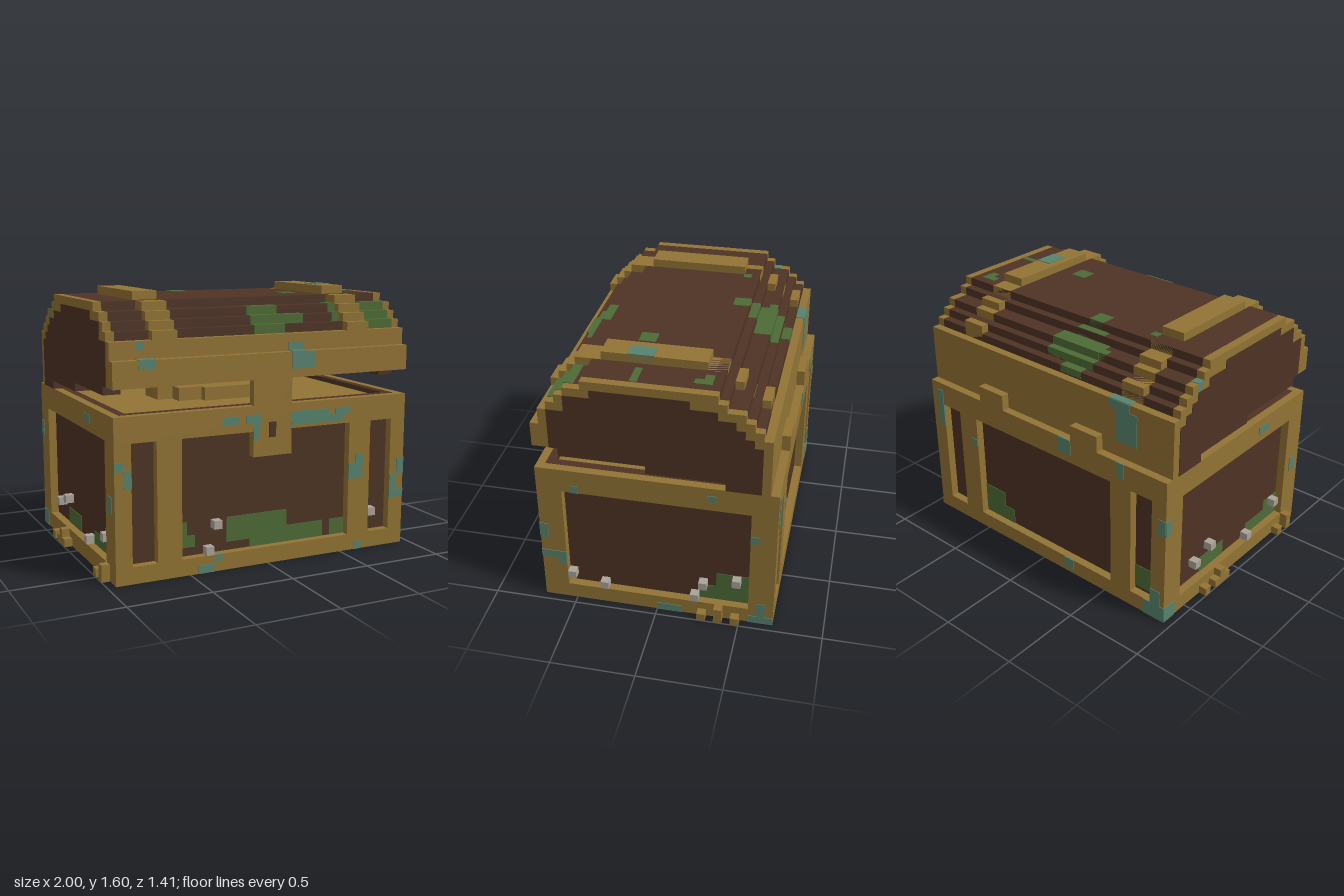
import * as THREE from 'three';

export function createModel() {
  const root = new THREE.Group();
  root.name = 'treasureChest';
  const mat = (name, color) => Object.assign(new THREE.MeshStandardMaterial({ color }), { name });
  const gold = mat('agedGold', 0x927334);
  const wood = mat('darkWood', 0x4e3324);
  const moss = mat('moss', 0x4e6b36);
  const teal = mat('patina', 0x57836f);
  const shell = mat('barnacle', 0xaaa399);
  const T = 0.004; // half thickness of painted plates

  const group = (name) => {
    const g = new THREE.Group();
    g.name = name;
    root.add(g);
    return g;
  };
  const box = (parent, name, m, x0, x1, y0, y1, z0, z1) => {
    const mesh = new THREE.Mesh(new THREE.BoxGeometry(x1 - x0, y1 - y0, z1 - z0), m);
    mesh.position.set((x0 + x1) / 2, (y0 + y1) / 2, (z0 + z1) / 2);
    mesh.name = name;
    parent.add(mesh);
  };
  // stack of slabs, rows are [top, zMin, zMax] from the top down
  const stair = (parent, name, m, x0, x1, rows, bottom) =>
    rows.forEach(([y, z0, z1], i) =>
      box(parent, name, m, x0, x1, i + 1 < rows.length ? rows[i + 1][0] : bottom, y, z0, z1));
  // thin rectangles [a0, b0, a1, b1] on a plane facing z or x
  const platesZ = (parent, name, m, z, list) => list.forEach(([a, b, c, d]) =>
    box(parent, name, m, a, c, b, d, z - T, z + T));
  const platesX = (parent, name, m, x, list) => list.forEach(([a, b, c, d]) =>
    box(parent, name, m, x - T, x + T, b, d, a, c));
  // mirrored interval in ascending order
  const side = (s, a, b) => [s * a, s * b].sort((p, q) => p - q);

  // body: wooden core with an open rim
  const body = group('body');
  box(body, 'bodyCore', wood, -0.9, 0.9, 0.005, 0.9, -0.65, 0.65);
  for (const s of [-1, 1]) {
    box(body, 'innerRim', wood, -0.9, 0.9, 0.9, 0.95, ...side(s, 0.6, 0.65));
    box(body, 'innerRim', wood, ...side(s, 0.85, 0.9), 0.9, 0.95, -0.6, 0.6);
  }

  // gold frame on all four walls
  const frame = group('frame');
  for (const s of [-1, 1]) {
    const z = side(s, 0.65, 0.7);
    const x = side(s, 0.9, 0.95);
    for (const [y0, y1] of [[0, 0.1], [0.8, 0.95]]) {
      box(frame, 'rail', gold, -0.95, 0.95, y0, y1, ...z);
      box(frame, 'sideRail', gold, ...x, y0, y1, -0.65, 0.65);
    }
    for (const [x0, x1] of [[-0.95, -0.85], [-0.7, -0.55], [0.55, 0.7], [0.85, 0.95]])
      box(frame, 'post', gold, x0, x1, 0.1, 0.8, ...z);
    box(frame, 'sidePost', gold, ...x, 0.1, 0.8, -0.65, -0.55);
    box(frame, 'sidePost', gold, ...x, 0.1, 0.8, 0.55, 0.65);
  }

  // latch with keyhole
  const latch = group('latch');
  box(latch, 'latchPlate', gold, -0.1, 0.15, 0.65, 1.1, 0.65, 0.7);
  platesZ(latch, 'keyhole', wood, 0.7, [[0, 0.76, 0.045, 0.85]]);

  // treasure heap
  const treasure = group('treasure');
  box(treasure, 'coinBed', gold, -0.85, 0.85, 0.9, 0.92, -0.6, 0.6);
  for (const [w, d] of [[0.45, 0.1], [0.35, 0.2], [0.2, 0.25]])
    box(treasure, 'coinHeap', gold, -w, w, 0.92, 1, -d, d);
  box(treasure, 'pearl', shell, 0.35, 0.4, 0.95, 1.004, 0.1, 0.154);

  // vaulted lid, stepped front to back
  const lid = group('lid');
  const vault = [[1.55, -0.35, 0.4], [1.5, -0.4, 0.5], [1.45, -0.5, 0.55], [1.4, -0.55, 0.6], [1.35, -0.6, 0.6]];
  const strap = [[1.6, -0.25, 0.35], [1.55, -0.35, 0.5], [1.5, -0.45, 0.55], [1.45, -0.5, 0.6],
    [1.4, -0.6, 0.65], [1.3, -0.65, 0.65]];
  const end = [[1.5, -0.2, 0.35], [1.45, -0.35, 0.5], [1.4, -0.45, 0.5], [1.35, -0.5, 0.6],
    [1.3, -0.55, 0.6], [1.25, -0.6, 0.6], [1.1, -0.6, 0.55], [1.05, -0.6, 0.05], [1, -0.6, -0.4]];
  stair(lid, 'vault', wood, -0.9, 0.9, vault, 1.1);
  box(lid, 'innerBackWall', wood, -0.9, 0.9, 0.95, 1.1, -0.6, -0.55);
  box(lid, 'frontBandLower', gold, -0.95, 0.95, 1.1, 1.25, 0.6, 0.7);
  box(lid, 'frontBandUpper', gold, -0.95, 0.95, 1.25, 1.35, 0.6, 0.65);
  box(lid, 'backBand', gold, -0.95, 0.95, 0.95, 1.3, -0.65, -0.6);
  for (const s of [-1, 1]) {
    stair(lid, 'endTrim', gold, ...side(s, 0.9, 0.95), vault, 1.1);
    stair(lid, 'endPanel', wood, ...side(s, 0.85, 0.953), end, 0.95);
    stair(lid, 'strap', gold, ...side(s, 0.55, 0.7), strap, 1.25);
    box(lid, 'innerStrap', gold, ...side(s, 0.55, 0.7), 0.95, 1.1, -0.56, -0.54);
  }
  box(lid, 'hinge', gold, -0.45, -0.25, 0.95, 1.05, -0.7, -0.65);
  box(lid, 'hinge', gold, 0.3, 0.5, 0.95, 1.05, -0.7, -0.65);

  // small gold lumps by the foot of both ends: [z0, z1, height]
  const lumps = group('goldLumps');
  for (const [a, b, h] of [[-0.5, -0.45, 0.05], [-0.4, -0.35, 0.1], [-0.3, -0.25, 0.05]])
    box(lumps, 'lump', gold, 0.95, 1, 0, h, a, b);
  for (const [a, b, h] of [[-0.35, -0.3, 0.05], [-0.25, -0.2, 0.05], [-0.2, -0.15, 0.1], [-0.15, -0.1, 0.05],
    [0.45, 0.5, 0.05], [0.55, 0.6, 0.1]])
    box(lumps, 'lump', gold, -1, -0.95, 0, h, a, b);

  // barnacle cubes inside the recessed panels
  const barnacles = group('barnacles');
  for (const [x, y] of [[-0.35, 0.25], [-0.4, 0.1], [0.7, 0.2]])
    box(barnacles, 'barnacle', shell, x, x + 0.05, y, y + 0.05, 0.65, 0.703);
  for (const [z, y] of [[0.5, 0.15], [0.3, 0.1], [-0.25, 0.1], [-0.3, 0.2], [-0.5, 0.25]])
    box(barnacles, 'barnacle', shell, 0.9, 0.953, y, y + 0.05, z, z + 0.05);
  for (const [z, y] of [[-0.4, 0.2], [-0.25, 0.25], [0.15, 0.1], [0.45, 0.2]])
    box(barnacles, 'barnacle', shell, -0.953, -0.9, y, y + 0.05, z, z + 0.05);

  // moss on the wooden panels
  const growth = group('moss');
  platesZ(growth, 'frontMoss', moss, 0.65, [[-0.25, 0.15, 0.15, 0.3], [-0.1, 0.1, 0.4, 0.15], [0.15, 0.15, 0.4, 0.2],
    [-0.55, 0.15, -0.45, 0.22], [-0.55, 0.22, -0.5, 0.3], [0.45, 0.1, 0.55, 0.2]]);
  platesZ(growth, 'backMoss', moss, -0.65, [[0.3, 0.1, 0.55, 0.2], [0.38, 0.2, 0.55, 0.3], [-0.85, 0.12, -0.7, 0.27]]);
  platesX(growth, 'rightMoss', moss, 0.9, [[-0.55, 0.1, -0.35, 0.3], [-0.35, 0.1, -0.25, 0.2]]);
  platesX(growth, 'leftMoss', moss, -0.9, [[-0.3, 0.1, -0.05, 0.2], [0.2, 0.1, 0.4, 0.18], [0.4, 0.1, 0.55, 0.25]]);
  for (const [x0, z0, x1, z1] of [[0.4, -0.2, 0.85, 0.2], [0.25, -0.65, 0.5, -0.45], [0.5, 0.2, 0.75, 0.45],
    [-0.25, 0.1, 0.3, 0.45], [0.1, 0.45, 0.6, 0.6], [-0.7, -0.1, -0.3, 0.2], [-0.75, -0.55, -0.45, -0.3],
    [-0.3, -0.5, 0.1, -0.2], [-0.85, 0.35, -0.5, 0.6], [0.7, -0.55, 0.9, -0.35]])
    box(growth, 'bottomMoss', moss, x0, x1, 0, 2 * T, z0, z1);

  // patches that follow the lid steps: [x0, z0, x1, z1]
  const drape = (parent, name, m, rows, bottom, list) => list.forEach(([x0, z0, x1, z1]) =>
    rows.forEach(([y, a, b], i) => {
      const lo = Math.max(a - T, z0), hi = Math.min(b + T, z1);
      const y0 = i + 1 < rows.length ? rows[i + 1][0] : bottom;
      if (hi - lo > 0.01) box(parent, name, m, x0, x1, y0, y + T, lo, hi);
    }));
  drape(growth, 'lidMoss', moss, vault, 1.31, [[-0.25, -0.61, -0.1, -0.55], [-0.3, -0.55, 0.05, -0.4],
    [-0.35, -0.5, -0.3, -0.45], [-0.25, -0.4, -0.05, -0.35], [-0.2, -0.35, -0.1, -0.25], [-0.55, -0.3, -0.5, -0.25],
    [0.35, 0.1, 0.45, 0.2], [0.75, -0.3, 0.85, -0.25], [0.8, -0.25, 0.85, -0.2], [0.75, 0.1, 0.9, 0.14],
    [-0.05, 0.45, 0.15, 0.61], [0.15, 0.5, 0.3, 0.56], [0.5, 0.4, 0.55, 0.55], [0.7, 0.45, 0.9, 0.61]]);

  // patina on the gold
  const patina = group('patina');
  drape(patina, 'strapPatina', teal, strap, 1.25, [[0.6, 0.05, 0.7, 0.2]]);
  drape(patina, 'trimPatina', teal, vault, 1.3, [[-0.95, -0.45, -0.9, -0.4]]);
  platesZ(patina, 'frontPatina', teal, 0.7, [[-0.45, 0, -0.35, 0.05], [-0.35, 0.06, -0.3, 0.1], [0.6, 0, 0.65, 0.05],
    [0.55, 0.45, 0.65, 0.55], [0.6, 0.55, 0.65, 0.6], [0.85, 0.3, 0.9, 0.45], [0.9, 0.45, 0.95, 0.55],
    [0.9, 0.3, 0.95, 0.35], [-0.95, 0.65, -0.9, 0.7], [-0.9, 0.55, -0.85, 0.65], [-0.3, 0.85, -0.2, 0.9],
    [-0.15, 0.85, -0.05, 0.9], [-0.1, 0.75, -0.06, 0.85], [0.15, 0.82, 0.5, 0.86], [0.15, 0.86, 0.4, 0.9],
    [0.45, 0.86, 0.55, 0.9], [0.15, 1.15, 0.3, 1.25], [-0.8, 1.2, -0.7, 1.25]]);
  platesZ(patina, 'lidFrontPatina', teal, 0.65, [[0.15, 1.25, 0.25, 1.3], [-0.8, 1.3, -0.75, 1.35]]);
  box(patina, 'bandTopPatina', teal, -0.8, -0.7, 1.25 - T, 1.25 + T, 0.65, 0.7);
  box(patina, 'bandTopPatina', teal, 0.15, 0.25, 1.25 - T, 1.25 + T, 0.65, 0.7);
  platesZ(patina, 'innerPatina', teal, -0.54, [[-0.6, 1, -0.55, 1.1], [0.6, 1, 0.65, 1.1]]);
  platesZ(patina, 'backPatina', teal, -0.7, [[0.85, 0.65, 0.9, 0.9], [0.55, 0.6, 0.6, 0.65], [-0.95, 0, -0.8, 0.1],
    [-0.92, 0.1, -0.85, 0.2], [-0.25, 0.03, -0.18, 0.1], [-0.25, 0.85, -0.15, 0.95], [-0.95, 0.6, -0.9, 0.7],
    [-0.65, 0.85, -0.6, 0.95]]);
  platesZ(patina, 'lidBackPatina', teal, -0.65, [[-0.7, 1.05, -0.55, 1.25], [-0.65, 1.25, -0.5, 1.3]]);
  box(patina, 'bandTopPatina', teal, -0.65, -0.5, 1.3 - T, 1.3 + T, -0.65, -0.6);
  platesX(patina, 'rightPatina', teal, 0.95, [[0.65, 0.45, 0.7, 0.55], [0.55, 0.3, 0.7, 0.35], [0.55, 0.25, 0.6, 0.3],
    [0.45, 0.8, 0.5, 0.85], [-0.35, 0.86, -0.3, 0.9], [-0.6, 0.6, -0.55, 0.65], [-0.15, 0, 0, 0.05],
    [-0.7, 0, -0.55, 0.05], [-0.65, 0.05, -0.6, 0.15]]);
  platesX(patina, 'leftPatina', teal, -0.95, [[-0.7, 0, -0.6, 0.1], [-0.7, 0.6, -0.65, 0.7], [0.2, 0.85, 0.3, 0.9],
    [0.6, 0.4, 0.65, 0.5]]);

  return root;
}
